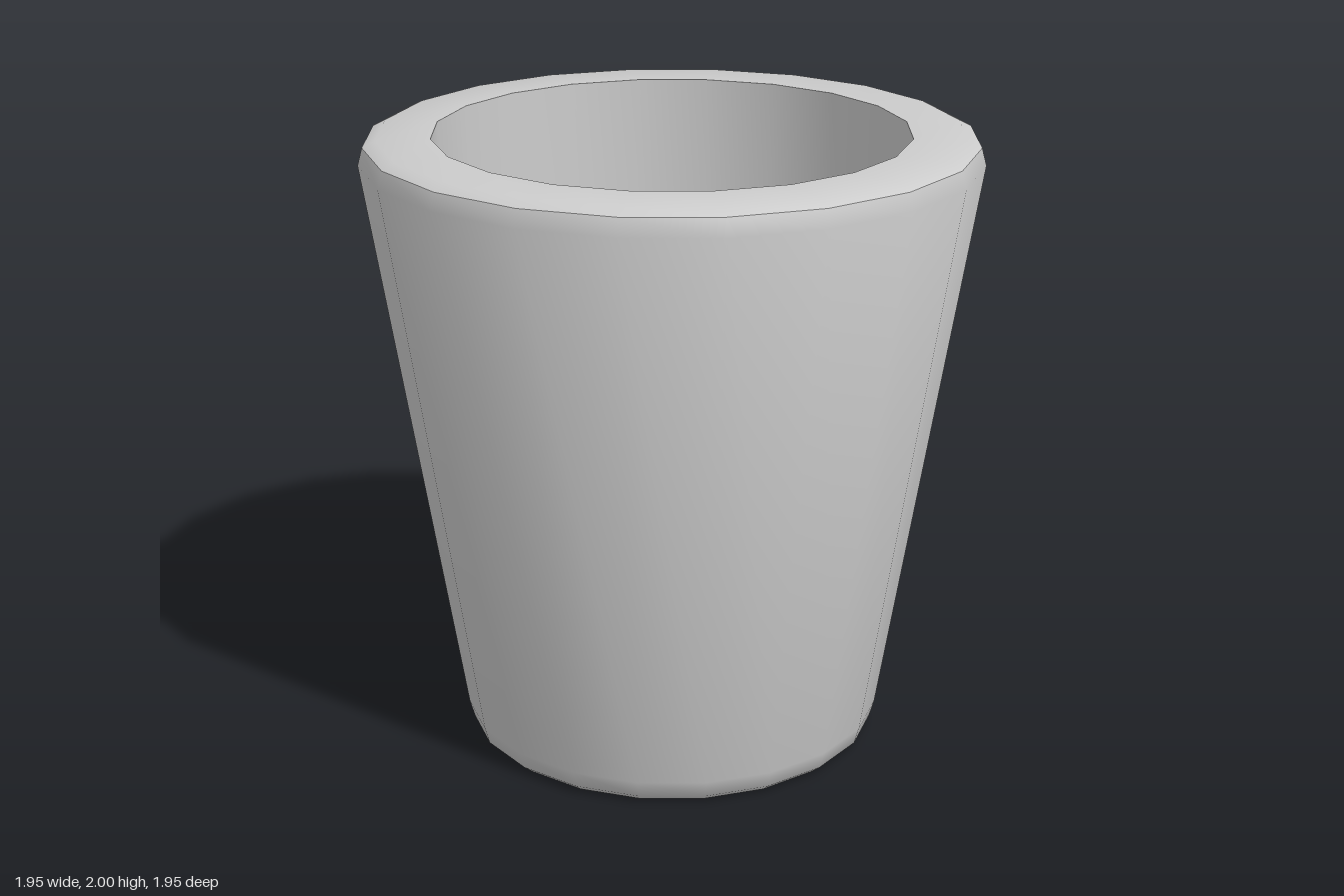
import * as THREE from 'three';
import { toCreasedNormals } from 'three/addons/utils/BufferGeometryUtils.js';

const SIDES = 20;

export function createModel() {
  const model = new THREE.Group();
  model.name = 'cup';

  // Half section: underside, tapered outer wall, softened rim, inner wall, floor
  const profile = [
    [0, 0], [0.64, 0], [0.67, 0.025], [0.685, 0.08],
    [0.975, 1.925], [0.96, 1.98], [0.92, 2],
    [0.75, 2], [0.735, 0.7], [0, 0.7],
  ].map(([r, y]) => new THREE.Vector2(r, y));

  const geometry = toCreasedNormals(
    new THREE.LatheGeometry(profile, SIDES),
    THREE.MathUtils.degToRad(40)
  );
  const body = new THREE.Mesh(
    geometry,
    new THREE.MeshStandardMaterial({ color: 0xcccccc })
  );
  body.name = 'cupBody';
  model.add(body);
  return model;
}
